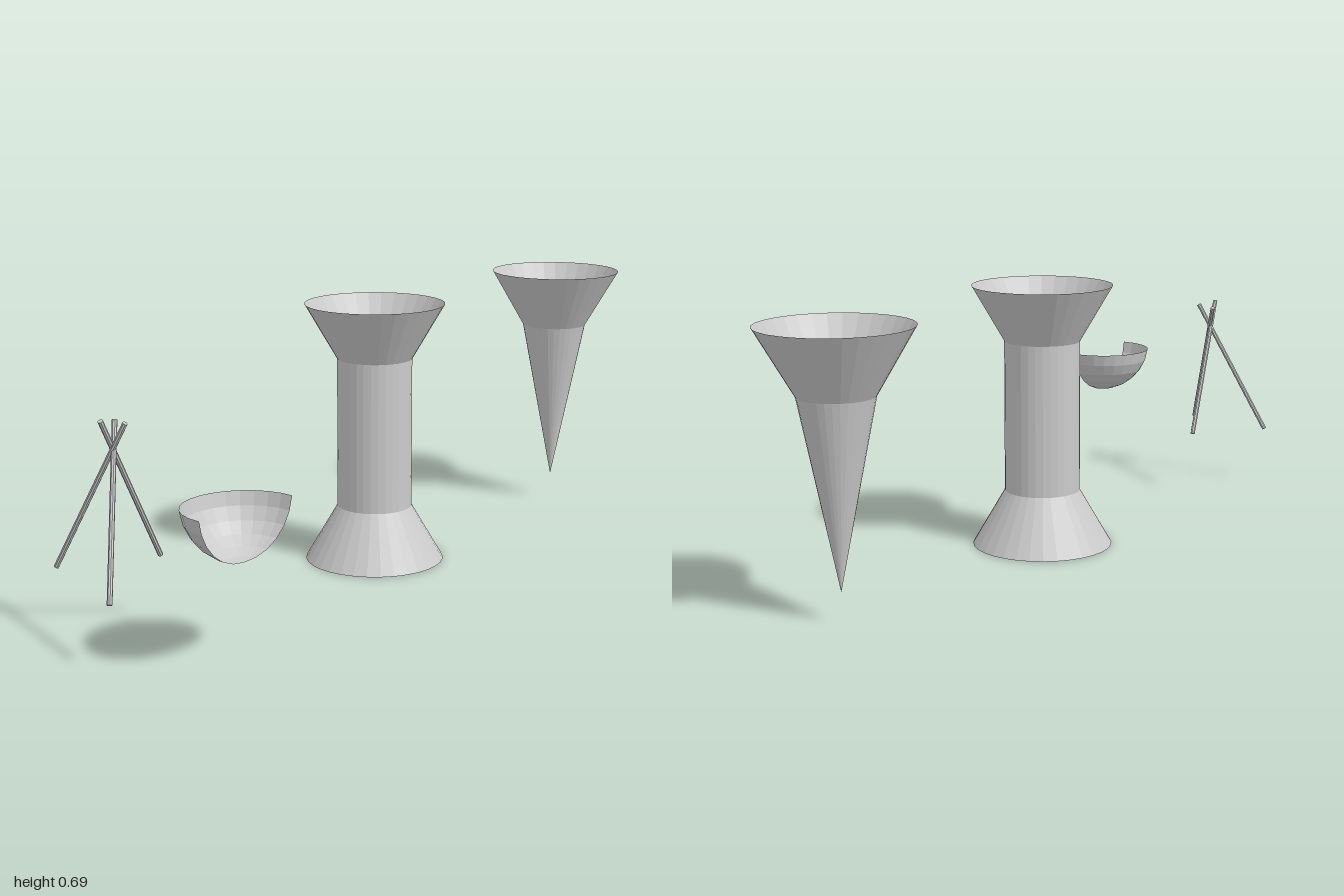
import * as THREE from 'three';

const material = new THREE.MeshStandardMaterial({ color: 0xcccccc, flatShading: true, side: THREE.DoubleSide });

function add(parent, name, geometry, x = 0, y = 0, z = 0) {
  const mesh = new THREE.Mesh(geometry, material);
  mesh.name = name;
  mesh.position.set(x, y, z);
  parent.add(mesh);
  return mesh;
}

// Round section standing between heights y0 and y1
function section(parent, name, r0, r1, y0, y1, open = false) {
  const geometry = new THREE.CylinderGeometry(r1, r0, y1 - y0, 32, 1, open);
  return add(parent, name, geometry, 0, (y0 + y1) / 2, 0);
}

function rod(parent, from, to, radius) {
  const a = new THREE.Vector3(...from), b = new THREE.Vector3(...to);
  const dir = b.clone().sub(a);
  const mesh = add(parent, 'rod', new THREE.CylinderGeometry(radius, radius, dir.length(), 8));
  mesh.position.copy(a).add(b).multiplyScalar(0.5);
  mesh.quaternion.setFromUnitVectors(new THREE.Vector3(0, 1, 0), dir.normalize());
}

function group(parent, name, x = 0, z = 0) {
  const g = new THREE.Group();
  g.name = name;
  g.position.set(x, 0, z);
  parent.add(g);
  return g;
}

export function createModel() {
  const model = new THREE.Group();
  model.name = 'model';

  // Pedestal: flared foot, straight shaft and open funnel
  const pedestal = group(model, 'pedestal', 0.007, -0.03);
  section(pedestal, 'foot', 0.184, 0.099, 0, 0.146);
  section(pedestal, 'shaft', 0.099, 0.099, 0.146, 0.544);
  section(pedestal, 'funnel', 0.099, 0.184, 0.544, 0.69, true);

  // Torch: pointed cone whose flat top sits inside an open funnel
  const torch = group(model, 'torch', 0.187, -0.816);
  section(torch, 'spike', 0, 0.105, 0.073, 0.6);
  section(torch, 'funnel', 0.091, 0.184, 0.53, 0.69, true);

  // Tripod: three crossed rods
  const tripod = group(model, 'tripod');
  rod(tripod, [-0.368, 0.16, 0.846], [-0.155, 0.529, 0.846], 0.0065);
  rod(tripod, [-0.195, 0.167, 0.67], [-0.195, 0.537, 0.884], 0.0065);
  rod(tripod, [-0.103, 0.153, 0.994], [-0.208, 0.525, 0.814], 0.0065);

  // Half bowl: thin shell with an open side
  const rad = THREE.MathUtils.degToRad;
  const shell = new THREE.SphereGeometry(0.141, 14, 6, rad(-108.4), rad(189.4), rad(96), rad(84));
  add(model, 'halfBowl', shell, 0.153, 0.39, 0.843);

  return model;
}
